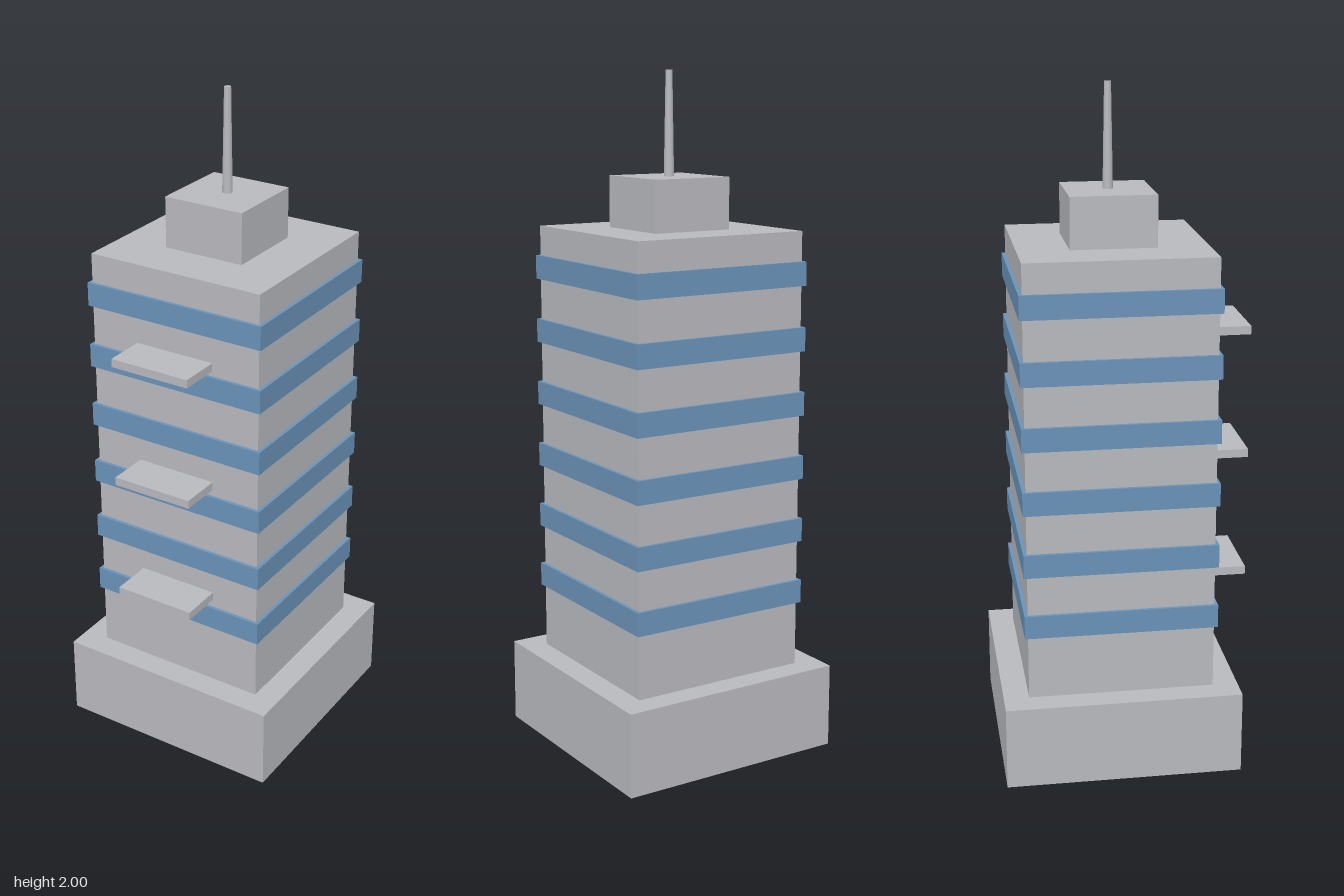
import * as THREE from 'three';

export function createModel() {
  const model = new THREE.Group();
  model.name = 'officeTower';
  const concrete = new THREE.MeshStandardMaterial({ name: 'concrete grey', color: 0xb8b9bd });
  const glass = new THREE.MeshStandardMaterial({ name: 'window blue', color: 0x6a92b8 });
  const axisZ = -0.0275; // tower axis, set back to leave room for the balconies

  function add(name, geometry, material, y, z = axisZ) {
    const mesh = new THREE.Mesh(geometry, material);
    mesh.name = name;
    mesh.position.set(0, y, z);
    model.add(mesh);
  }
  const block = (name, width, bottom, top) =>
    add(name, new THREE.BoxGeometry(width, top - bottom, width), concrete, (bottom + top) / 2);

  // Stacked masses
  block('base', 0.7, 0, 0.25);
  block('tower', 0.55, 0.25, 1.55);
  block('roofHouse', 0.25, 1.55, 1.7);

  // Window bands wrapping the tower
  for (let i = 0; i < 6; i++) {
    add(`windowBand${i + 1}`, new THREE.BoxGeometry(0.57, 0.07, 0.57), glass, 0.478 + i * 0.19);
  }

  // Balcony slabs on the front
  for (let i = 0; i < 3; i++) {
    add(`balcony${i + 1}`, new THREE.BoxGeometry(0.25, 0.025, 0.125), concrete, 0.55 + i * 0.375, 0.31);
  }

  // Tapered antenna
  add('antenna', new THREE.CylinderGeometry(0.01, 0.015, 0.3, 16), concrete, 1.85);

  return model;
}
